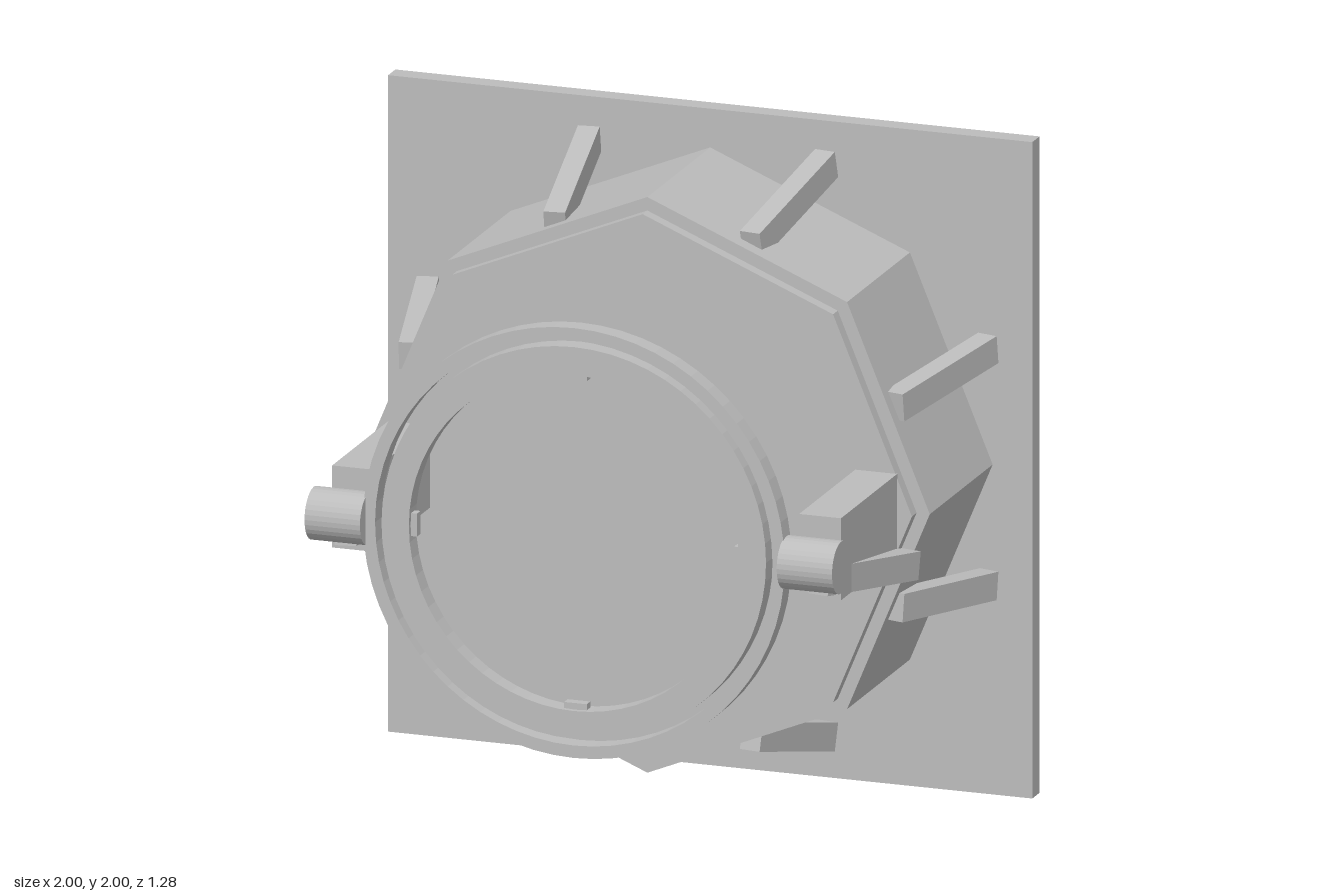
import * as THREE from 'three';

const CY = 1.005; // height of the main axis

export function createModel() {
  const model = new THREE.Group();
  const grey = new THREE.MeshStandardMaterial({ color: 0xbcbcbc });
  grey.name = 'plainGrey';

  function add(name, geometry, x = 0, y = 0, z = 0) {
    const mesh = new THREE.Mesh(geometry.index ? geometry.toNonIndexed() : geometry, grey);
    mesh.geometry.computeVertexNormals();
    mesh.name = name;
    mesh.position.set(x, y, z);
    model.add(mesh);
    return mesh;
  }

  // box given by its limits
  function box(name, x0, x1, y0, y1, z0, z1) {
    return add(name, new THREE.BoxGeometry(x1 - x0, y1 - y0, z1 - z0),
      (x0 + x1) / 2, (y0 + y1) / 2, (z0 + z1) / 2);
  }

  // square bar running between two end centres, kept level
  function bar(name, a, b) {
    const start = new THREE.Vector3(...a), end = new THREE.Vector3(...b);
    const mesh = add(name, new THREE.BoxGeometry(0.065, 0.085, start.distanceTo(end)));
    mesh.position.copy(start).lerp(end, 0.5);
    mesh.lookAt(end);
  }

  // eight-sided prism with a corner at the top
  function octagon(name, radius, z0, z1) {
    const g = new THREE.CylinderGeometry(radius, radius, z1 - z0, 8);
    g.rotateX(Math.PI / 2);
    add(name, g, 0, CY, (z0 + z1) / 2);
  }

  // flat ring facing the front
  function ring(name, outer, inner) {
    const shape = new THREE.Shape().absarc(0, 0, outer, 0, Math.PI * 2);
    shape.holes.push(new THREE.Path().absarc(0, 0, inner, 0, Math.PI * 2, true));
    const g = new THREE.ExtrudeGeometry(shape, { depth: 0.06, bevelEnabled: false, curveSegments: 32 });
    add(name, g, 0, CY, 0.53);
  }

  // back plate and octagonal housing
  box('backPlate', -1, 1, 0, 2, -0.64, -0.578);
  octagon('housing', 0.877, -0.578, -0.04);
  octagon('housingLip', 0.836, -0.04, 0);

  // stepped slats under the housing
  box('bottomSlat', -0.14, 0.14, 0.155, 0.2, -0.26, -0.22);
  box('bottomSlat', -0.1, 0.1, 0.147, 0.2, -0.3, -0.26);
  box('bottomSlat', -0.14, 0.14, 0.143, 0.2, -0.34, -0.3);

  // front ring pair with small inward tabs
  ring('outerRing', 0.655, 0.617);
  ring('innerRing', 0.597, 0.512);
  for (let i = 0; i < 4; i++) {
    const a = i * Math.PI / 2;
    const tab = add('ringTab', new THREE.BoxGeometry(0.03, 0.07, 0.03),
      Math.cos(a) * 0.507, CY + Math.sin(a) * 0.507, 0.56);
    tab.rotation.z = a;
  }

  for (const s of [-1, 1]) {
    // leaning struts, one on each face of the housing
    for (const v of [-1, 1]) {
      bar('upperLowerStrut', [s * 0.305, CY + v * 0.748, -0.09], [s * 0.368, CY + v * 0.872, -0.56]);
      bar('sideStrut', [s * 0.752, CY + v * 0.305, -0.08], [s * 0.87, CY + v * 0.36, -0.56]);
    }

    // arm, its brace and the pivot barrel
    const arm = box('arm', 0.66, 0.79, 0.88, 1.13, -0.005, 0.48);
    arm.position.x *= s;
    bar('armBrace', [s * 0.735, 0.945, 0.515], [s * 0.828, 0.858, -0.005]);
    const barrel = new THREE.CylinderGeometry(0.079, 0.079, 0.172, 32);
    barrel.rotateZ(Math.PI / 2);
    add('pivotBarrel', barrel, s * 0.733, CY, 0.558);
  }

  return model;
}
